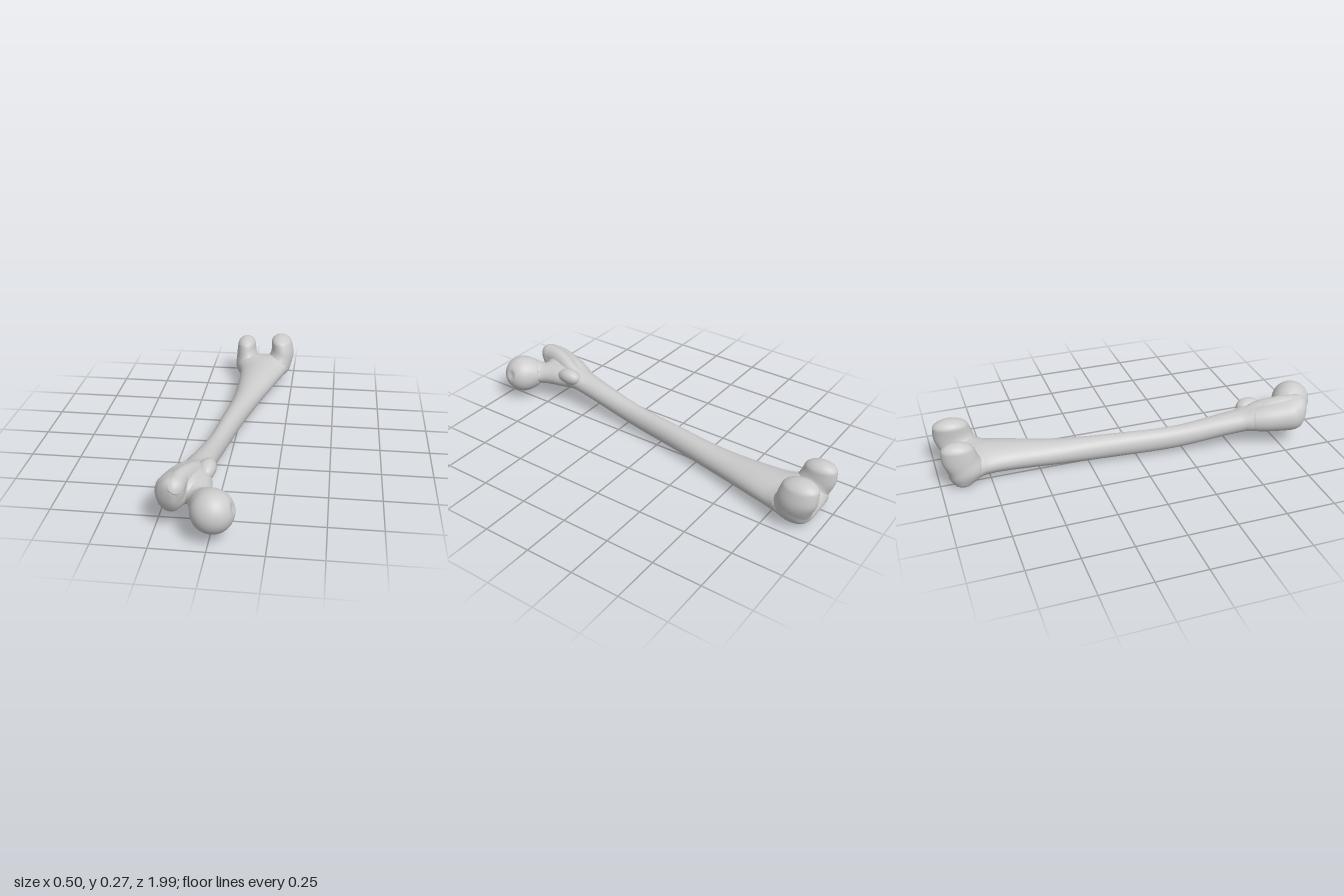
import * as THREE from 'three';

const RINGS = 72, SIDES = 48, BLEND = 0.05;

// Smooth interpolation of station rows [w, cu, cv, hu, hv] at position w
function sample(rows, w) {
  let i = 0;
  while (i < rows.length - 2 && w > rows[i + 1][0]) i++;
  const a = rows[i], b = rows[i + 1], span = b[0] - a[0], t = (w - a[0]) / span;
  const before = rows[Math.max(i - 1, 0)], after = rows[Math.min(i + 2, rows.length - 1)];
  return [1, 2, 3, 4].map((k) => {
    const ma = (b[k] - before[k]) / (b[0] - before[0]) * span;
    const mb = (after[k] - a[k]) / (after[0] - a[0]) * span;
    const t2 = t * t, t3 = t2 * t;
    return (2 * t3 - 3 * t2 + 1) * a[k] + (t3 - 2 * t2 + t) * ma + (3 * t2 - 2 * t3) * b[k] + (t3 - t2) * mb;
  });
}

// Elliptical section of a part, rounded off towards both ends
function section({ rows, caps }, w) {
  const s = sample(rows, w);
  const ends = [w - rows[0][0], rows[rows.length - 1][0] - w];
  ends.forEach((d, i) => {
    if (d >= caps[i]) return;
    const e = 1 - Math.max(d, 0) / caps[i];
    const f = Math.max(Math.sqrt(1 - e * e), 0.002);
    s[2] *= f;
    s[3] *= f;
  });
  return s;
}

// Approximate signed distance from a point to a part
function distance(part, x, y, z) {
  const [u, v, w] = part.axis === 'z' ? [x, y, z] : [z, x, y];
  const c = THREE.MathUtils.clamp(w, part.rows[0][0], part.rows[part.rows.length - 1][0]);
  const [cu, cv, hu, hv] = section(part, c);
  const q = Math.hypot((u - cu) / hu, (v - cv) / hv);
  const d = q > 1e-6 ? Math.hypot(u - cu, v - cv) * (1 - 1 / q) : -Math.min(hu, hv);
  return c === w ? d : Math.hypot(Math.max(d, 0), w - c);
}

// Skin a part with rings of vertices along its axis
function loft(part) {
  const { rows, axis } = part, pos = [], index = [];
  const start = rows[0][0], length = rows[rows.length - 1][0] - start;
  for (let i = 0; i <= RINGS; i++) {
    const w = start + length * (1 - Math.cos(Math.PI * i / RINGS)) / 2;
    const [cu, cv, hu, hv] = section(part, w);
    for (let j = 0; j < SIDES; j++) {
      const a = j / SIDES * Math.PI * 2;
      const u = cu + hu * Math.cos(a), v = cv + hv * Math.sin(a);
      pos.push(...(axis === 'z' ? [u, v, w] : [v, w, u]));
      if (i === RINGS) continue;
      const p = i * SIDES + j, q = i * SIDES + (j + 1) % SIDES;
      index.push(p, q, p + SIDES, q, q + SIDES, p + SIDES);
    }
  }
  const g = new THREE.BufferGeometry();
  g.setAttribute('position', new THREE.Float32BufferAttribute(pos, 3));
  g.setIndex(index);
  g.computeVertexNormals();
  return g;
}

// Move every vertex along its normal by the amount a rule gives for its place
function displace(g, rule) {
  const p = g.attributes.position, n = g.attributes.normal;
  const v = new THREE.Vector3(), normal = new THREE.Vector3();
  for (let i = 0; i < p.count; i++) {
    v.fromBufferAttribute(p, i);
    v.addScaledVector(normal.fromBufferAttribute(n, i), rule(v));
    p.setXYZ(i, v.x, v.y, v.z);
  }
  g.computeVertexNormals();
}

// Swell the surface where it meets its neighbours, forming a soft fillet
function fillet(g, others) {
  displace(g, (v) => Math.max(...others.map((o) => {
    const h = Math.max(0, 1 - Math.abs(distance(o, v.x, v.y, v.z)) / BLEND);
    return 0.25 * BLEND * h * h;
  })));
}

// Press a shallow pit into the surface around a point
function dent(g, centre, radius, depth) {
  displace(g, (v) => -depth * Math.max(0, 1 - v.distanceToSquared(centre) / radius ** 2) ** 2);
}

// A part swept along z or y, with rounded ends of the given lengths
function sweep(name, axis, caps, ...rows) {
  return { name, axis, caps, rows };
}

// An ellipsoid is a sweep whose caps meet in the middle
function ball(name, x, y, z, rx, ry, rz) {
  return sweep(name, 'z', [rz, rz], [z - rz, x, y, rx, ry], [z + rz, x, y, rx, ry]);
}

// Rows along z: [z, x, y, halfX, halfY]
const shaft = sweep('shaft', 'z', [0.05, 0.06],
  [-0.96, 0.055, 0.065, 0.11, 0.045], [-0.85, 0.075, 0.088, 0.142, 0.07],
  [-0.7, 0.067, 0.087, 0.116, 0.069], [-0.4, 0.022, 0.073, 0.073, 0.063],
  [-0.1, -0.024, 0.078, 0.055, 0.061], [0.2, -0.065, 0.09, 0.05, 0.058],
  [0.5, -0.1, 0.137, 0.064, 0.057], [0.7, -0.123, 0.163, 0.08, 0.056],
  [0.82, -0.135, 0.165, 0.07, 0.06]);
const neck = sweep('neck', 'z', [0.1, 0.06],
  [0.6, -0.085, 0.155, 0.05, 0.045], [0.78, -0.057, 0.15, 0.064, 0.055],
  [0.92, 0.005, 0.145, 0.065, 0.06]);
const head = ball('head', 0.015, 0.146, 0.902, 0.098, 0.098, 0.098);
const greaterTrochanter = sweep('greaterTrochanter', 'z', [0.12, 0.05],
  [0.56, -0.135, 0.15, 0.05, 0.05], [0.78, -0.178, 0.168, 0.073, 0.078],
  [0.84, -0.177, 0.172, 0.062, 0.08], [0.892, -0.165, 0.19, 0.045, 0.062]);
const crest = sweep('trochantericCrest', 'z', [0.08, 0.04],
  [0.6, -0.09, 0.195, 0.028, 0.025], [0.75, -0.134, 0.227, 0.031, 0.035],
  [0.885, -0.155, 0.222, 0.03, 0.034]);
const lesserTrochanter = ball('lesserTrochanter', -0.042, 0.193, 0.615, 0.036, 0.037, 0.058);

// Rows along y: [y, z, x, halfZ, halfX]
const leftCondyle = sweep('leftCondyle', 'y', [0.03, 0.04],
  [0.012, -0.89, 0.13, 0.04, 0.042], [0.1, -0.88, 0.168, 0.085, 0.066],
  [0.17, -0.893, 0.184, 0.098, 0.066], [0.27, -0.908, 0.172, 0.08, 0.055]);
// The right condyle is a slimmer, lower and straighter copy
const rightCondyle = sweep('rightCondyle', 'y', [0.03, 0.04],
  ...leftCondyle.rows.map(([y, z, , hz, hx]) => [y * 0.96 - 0.007, z, -0.031, hz * 0.9, hx * 0.87]));

export function createModel() {
  const model = new THREE.Group();
  model.name = 'thighBone';
  const material = new THREE.MeshStandardMaterial({ color: 0xcccccc });
  const parts = [shaft, neck, head, greaterTrochanter, crest, lesserTrochanter, leftCondyle, rightCondyle];
  for (const part of parts) {
    const g = loft(part);
    fillet(g, parts.filter((o) => o !== part));
    // Ligament pit on the inner side of the head
    if (part === head) dent(g, new THREE.Vector3(0.108, 0.172, 0.912), 0.035, 0.012);
    const mesh = new THREE.Mesh(g, material);
    mesh.name = part.name;
    model.add(mesh);
  }
  return model;
}
